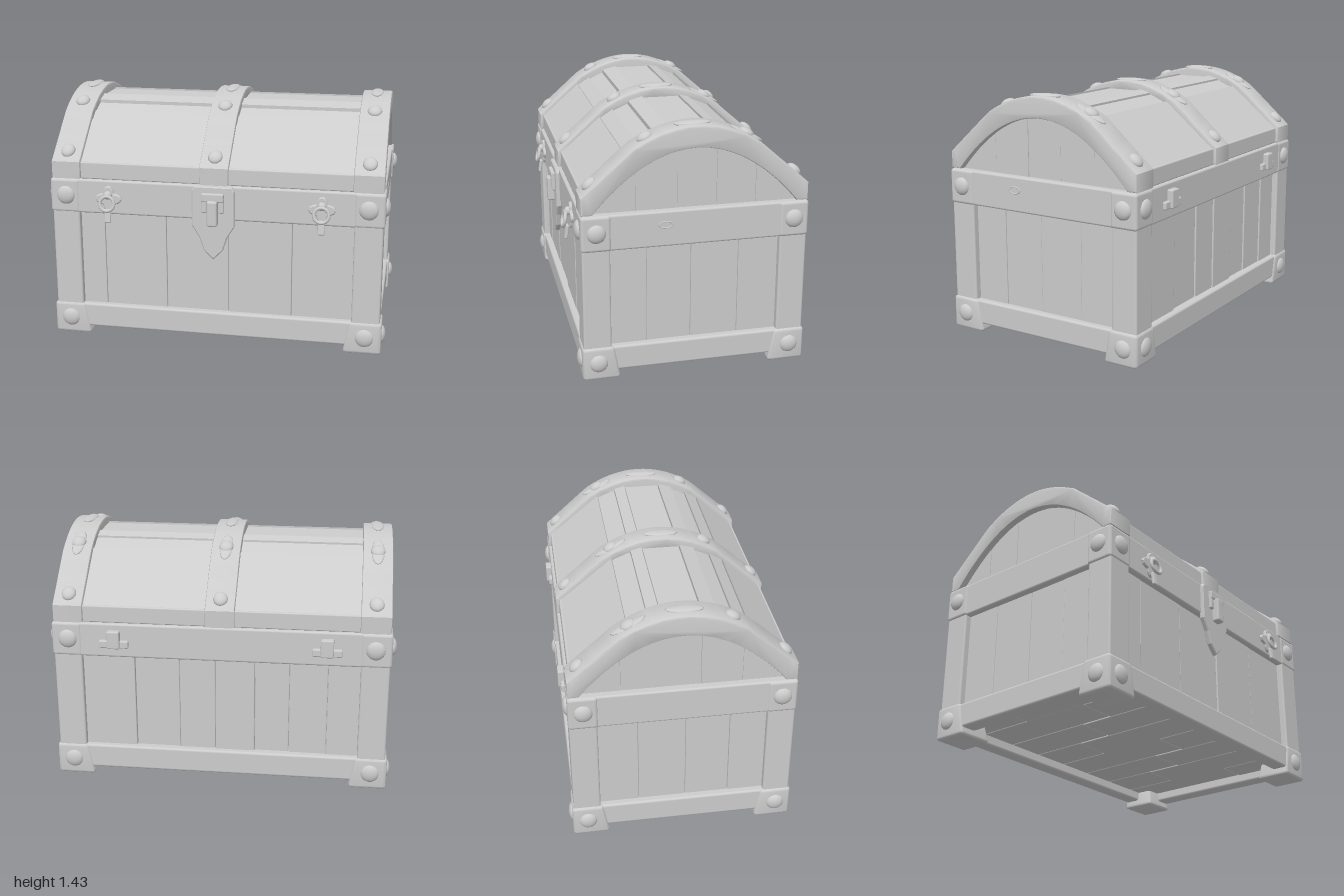
import * as THREE from 'three';
import { toCreasedNormals } from 'three/addons/utils/BufferGeometryUtils.js';
import { RoundedBoxGeometry } from 'three/addons/geometries/RoundedBoxGeometry.js';

const grey = new THREE.MeshStandardMaterial({ color: 0xcccccc });
grey.name = 'plain grey';

const D = 0.63;                                   // half depth of the chest
const W = 0.965;                                  // half width
// Lid arch: round on top, straight towards the eaves
const roof = (z) => {
  const a = Math.abs(z);
  return a < 0.35 ? 1.42 - 0.9 * a * a : 1.31 - 0.88 * (a - 0.35);
};
const slope = (z) => Math.atan((roof(z - 0.01) - roof(z + 0.01)) / 0.02);

export function createModel() {
  const model = new THREE.Group();
  model.name = 'chest';
  const chest = new THREE.Group();
  chest.name = 'chestBody';
  chest.position.z = -0.02;
  model.add(chest);

  const add = (name, geo, x = 0, y = 0, z = 0) => {
    const m = new THREE.Mesh(geo, grey);
    m.name = name;
    m.position.set(x, y, z);
    chest.add(m);
    return m;
  };
  // Box given by its extents
  const box = (name, x0, x1, y0, y1, z0, z1, r = 0.008) =>
    add(name, new RoundedBoxGeometry(x1 - x0, y1 - y0, z1 - z0, 2, r),
      (x0 + x1) / 2, (y0 + y1) / 2, (z0 + z1) / 2);
  // Profile of [z, y] points extruded along x, with an optional bevel
  const extrudeX = (name, pts, x0, x1, bevel = 0) => {
    const shape = new THREE.Shape(pts.map(([z, y]) => new THREE.Vector2(-z, y)));
    const geo = new THREE.ExtrudeGeometry(shape, {
      depth: x1 - x0 - 2 * bevel, bevelEnabled: bevel > 0, bevelThickness: bevel,
      bevelSize: bevel, bevelOffset: -bevel, bevelSegments: 2 });
    geo.rotateY(Math.PI / 2);
    return add(name, toCreasedNormals(geo, 0.5), x0 + bevel);
  };
  // Flat plate on the front with a small bevel
  const plate = (name, pts, depth, x, y, z) => {
    const shape = new THREE.Shape(pts.map(([a, b]) => new THREE.Vector2(a, b)));
    return add(name, new THREE.ExtrudeGeometry(shape, {
      depth, bevelThickness: 0.006, bevelSize: 0.006, bevelSegments: 1 }), x, y, z);
  };
  const arc = (z0, z1, f, n = 24) =>
    Array.from({ length: n + 1 }, (_, i) => {
      const z = z0 + (z1 - z0) * i / n;
      return [z, f(z)];
    });
  const rivet = (x, y, z, sx, sy, sz) => {
    const m = add('rivet', new THREE.SphereGeometry(1, 16, 10), x, y, z);
    m.scale.set(sx, sy, sz);
    return m;
  };

  // Inner block behind the boards
  box('core', -0.895, 0.895, 0.12, 0.95, -0.565, 0.565);

  // Upright boards on all four sides, set back from the posts
  const boards = (edges, place) => {
    for (let i = 0; i + 1 < edges.length; i++) {
      place(edges[i] + 0.001, edges[i + 1] - 0.001, (i % 3) * 0.003);
    }
  };
  boards([-0.81, -0.66, -0.29, 0.08, 0.45, 0.81], (a, b, d) =>
    box('frontBoard', a, b, 0.17, 0.78, 0.54, 0.594 - d, 0.004));
  boards([-0.81, -0.62, -0.4, -0.2, 0.03, 0.24, 0.5, 0.81], (a, b, d) =>
    box('backBoard', a, b, 0.17, 0.78, -0.594 + d * 2, -0.54, 0.005));
  for (const s of [-1, 1]) {
    boards([-0.51, -0.25, 0.02, 0.27, 0.51], (a, b, d) => {
      const o = 0.926 - d / 2;
      box('sideBoard', s > 0 ? 0.87 : -o, s > 0 ? o : -0.87, 0.17, 0.78, a, b, 0.003);
    });
  }

  // Floor boards seen from underneath, in staggered lengths
  for (let i = 0; i < 8; i++) {
    const a = -0.92 + i * 0.23;
    const cut = [-0.2, 0.22, 0.02][i % 3];
    box('floorBoard', a + 0.003, a + 0.227, 0.1, 0.14, -0.6, cut - 0.004, 0.006);
    box('floorBoard', a + 0.003, a + 0.227, 0.096, 0.14, cut + 0.004, 0.6, 0.006);
  }

  // Bottom rail and upper band
  for (const s of [-1, 1]) {
    const z0 = s > 0 ? 0.535 : -D, z1 = s > 0 ? D : -0.535;
    box('bottomRail', -W, W, 0.045, 0.19, z0, z1, 0.014);
    box('upperBand', -W, W, 0.76, 0.962, z0, z1, 0.012);
    const x0 = s > 0 ? 0.865 : -W, x1 = s > 0 ? W : -0.865;
    box('bottomRailSide', x0, x1, 0.045, 0.19, -D, D, 0.014);
    box('upperBandSide', x0, x1, 0.76, 0.962, -D, D, 0.012);
  }

  // Corner posts, feet, brackets and their studs
  for (const sx of [-1, 1]) for (const sz of [-1, 1]) {
    add('cornerPost', new RoundedBoxGeometry(0.163, 0.66, 0.155, 2, 0.012),
      sx * 0.8835, 0.48, sz * 0.5525);

    const foot = new RoundedBoxGeometry(0.186, 0.193, 0.176, 3, 0.018);
    const p = foot.attributes.position;
    for (let i = 0; i < p.count; i++) {
      const flare = 0.035 * (0.5 - p.getY(i) / 0.193);
      if (p.getX(i) * sx < 0) p.setX(i, p.getX(i) - sx * flare);
      if (p.getZ(i) * sz < 0) p.setZ(i, p.getZ(i) - sz * flare);
    }
    foot.computeVertexNormals();
    add('foot', toCreasedNormals(foot, 0.6), sx * 0.884, 0.0965, sz * 0.55);
    add('cornerBracket', new RoundedBoxGeometry(0.175, 0.203, 0.165, 3, 0.018),
      sx * 0.886, 0.861, sz * 0.552);

    for (const y of [0.1, 0.865]) {
      rivet(sx * 0.88, y, sz * 0.632, 0.055, 0.055, 0.026);
      rivet(sx * 0.97, y, sz * 0.55, 0.029, 0.053, 0.053);
    }
  }

  // Lid body and its recessed end walls
  const inner = (z) => roof(z) - 0.06;
  extrudeX('lidCore', [[-0.59, 0.95], [0.59, 0.95], ...arc(0.59, -0.59, inner)], -0.895, 0.895);
  for (const s of [-1, 1]) {
    boards([-0.57, -0.34, -0.12, 0.1, 0.33, 0.57], (a, b, d) => {
      const o = 0.922 - d / 2;
      extrudeX('lidEndBoard', [[a, 0.95], [b, 0.95], ...arc(b, a, inner, 6)],
        s > 0 ? 0.87 : -o, s > 0 ? o : -0.87);
    });
  }

  // Lid boards running along the length, each one flat
  const cuts = [-0.61, -0.29, -0.18, -0.11, 0.11, 0.2, 0.29, 0.37, 0.61];
  const drop = [0.028, 0.042, 0.034, 0.044, 0.034, 0.05, 0.038, 0.028];
  drop.forEach((d, i) => {
    const a = cuts[i] + 0.003, b = cuts[i + 1] - 0.003;
    extrudeX('lidBoard', [[a, roof(a) - 0.1], [b, roof(b) - 0.1],
      [b, roof(b) - d], [a, roof(a) - d]], -0.88, 0.88);
  });
  for (const s of [-1, 1]) {
    box('lidEdge', -0.88, 0.88, 0.962, 1.062, s > 0 ? 0.55 : -0.612, s > 0 ? 0.612 : -0.55);
  }

  // Lid straps: broad arches at the ends, a thin one in the middle
  const strap = (name, x0, x1, under, foot) => extrudeX(name, [
    [D, 0.964], [D, roof(D)], ...arc(D - 0.02, -D + 0.02, roof, 32), [-D, roof(D)], [-D, 0.964],
    [-foot, 0.964], ...arc(-foot + 0.01, foot - 0.01, under, 32), [foot, 0.964]], x0, x1, 0.01);
  const endArch = (z) => 1.3 - 1.04 * z * z;
  strap('endStrap', 0.79, 0.962, endArch, 0.568);
  strap('endStrap', -0.962, -0.79, endArch, 0.568);
  strap('middleStrap', -0.085, 0.085, (z) => roof(z) - 0.07, 0.57);

  // Studs over the lid straps; the upper and rear ones sit on long ridges
  for (const x of [-0.875, 0, 0.875]) {
    for (const z of [0.57, 0.27, -0.29, -0.57]) {
      rivet(x, roof(z), z, 0.042, 0.026, 0.045).rotation.x = slope(z);
    }
    for (const z of [0.01, -0.29]) {
      rivet(x, roof(z) - 0.003, z, 0.038, 0.013, 0.105).rotation.x = slope(z);
    }
  }

  // Latch: shield plate, hasp and staple
  plate('latchPlate', [[-0.105, 0.955], [-0.118, 0.935], [-0.118, 0.73], [-0.075, 0.66],
    [-0.05, 0.585], [0, 0.535], [0.05, 0.585], [0.075, 0.66], [0.118, 0.73],
    [0.118, 0.935], [0.105, 0.955]], 0.02, 0, 0, 0.625);
  box('hasp', -0.065, 0.065, 0.875, 0.925, 0.64, 0.672);
  for (const s of [-1, 1]) {
    box('haspArm', s * 0.05 - 0.016, s * 0.05 + 0.016, 0.81, 0.9, 0.64, 0.668);
  }
  box('staple', -0.03, 0.03, 0.735, 0.885, 0.64, 0.692, 0.012);

  // Front ring pulls on flower-shaped plates
  for (const x of [-0.62, 0.62]) {
    const petals = Array.from({ length: 32 }, (_, i) => {
      const a = i / 32 * Math.PI * 2;
      const r = 0.056 + 0.016 * Math.cos(4 * a);
      return [r * Math.cos(a), r * Math.sin(a)];
    });
    plate('pullPlate', petals, 0.014, x, 0.855, 0.625);
    rivet(x, 0.88, 0.65, 0.025, 0.025, 0.022);
    const ring = add('pullRing', new THREE.TorusGeometry(0.042, 0.01, 8, 24), x, 0.835, 0.674);
    ring.rotation.x = -0.2;
    const tongue = box('pullTongue', x - 0.019, x + 0.019, 0.718, 0.8, 0.652, 0.67, 0.007);
    tongue.rotation.x = -0.15;
  }

  // Rear hinges
  for (const x of [-0.61, 0.61]) {
    box('hingePlate', x - 0.085, x + 0.085, 0.82, 0.865, -0.65, -0.61);
    box('hingeKnuckle', x - 0.037, x + 0.037, 0.82, 0.925, -0.664, -0.61);
  }

  // Knot in the right-hand band
  const knot = add('knot', new THREE.TorusGeometry(0.032, 0.006, 8, 24), W, 0.885, 0.17);
  knot.rotation.y = Math.PI / 2;
  knot.scale.set(1.1, 0.6, 0.6);

  return model;
}
